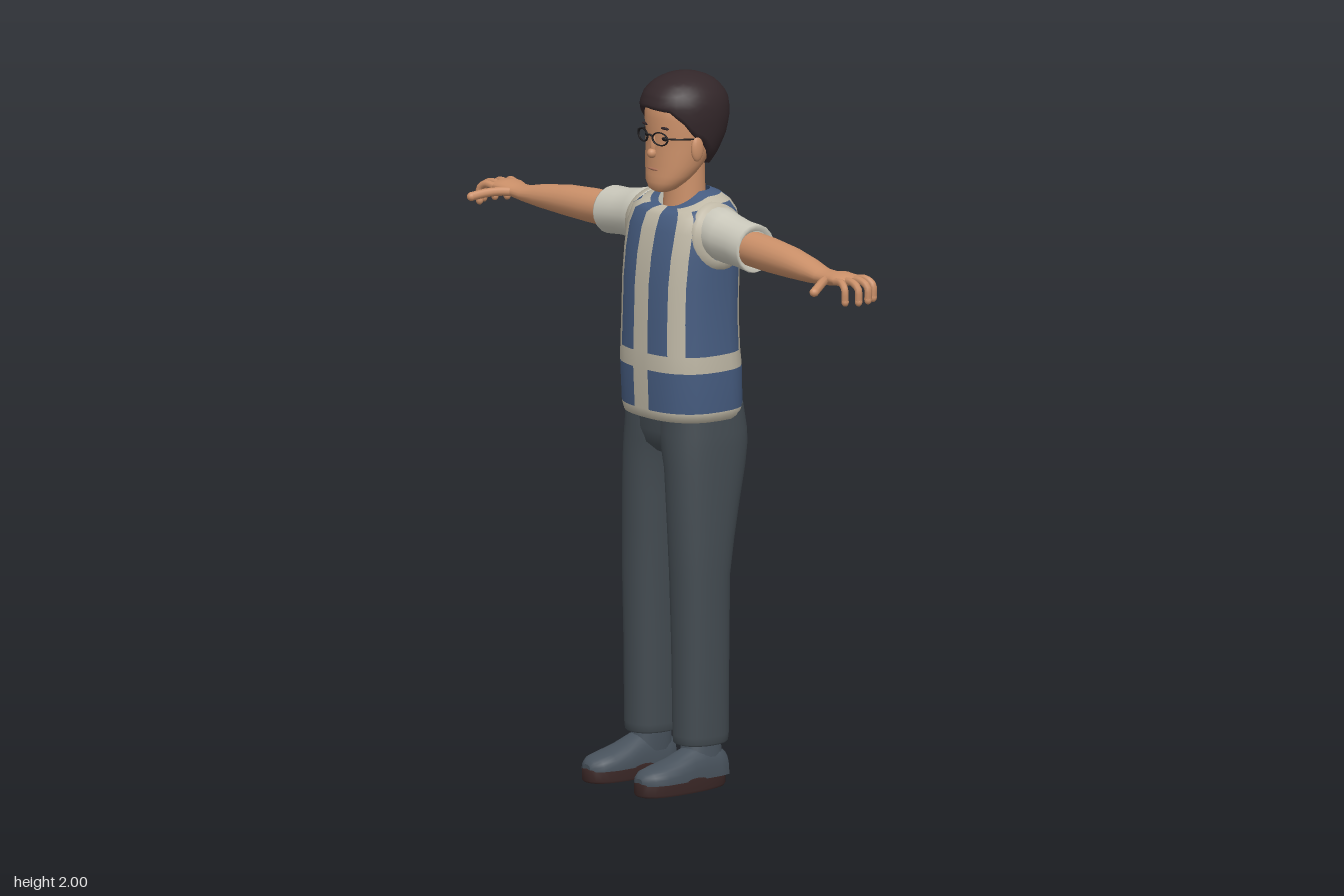
import * as THREE from 'three';

const mat = (name, color, extra = {}) => new THREE.MeshStandardMaterial({ name, color, ...extra });
const V = (x, y, z) => new THREE.Vector3(x, y, z);
const spow = (v, e) => Math.sign(v) * Math.abs(v) ** e;

// Skin closed rings together; rings turn right-handed around the path. pick(row, col) chooses a material.
function loft(rings, { cap = true, pick = () => 0 } = {}) {
  const n = rings[0].length, pos = [], buckets = [];
  const tri = (m, ...ids) => (buckets[m] ??= []).push(...ids);
  rings.forEach(r => r.forEach(p => pos.push(p.x, p.y, p.z)));
  for (let i = 0; i < rings.length - 1; i++) for (let j = 0; j < n; j++) {
    const k = (j + 1) % n, a = i * n + j, b = i * n + k, c = b + n, d = a + n;
    tri(pick(i, j), a, b, c, a, c, d);
  }
  if (cap) [rings[0], rings[rings.length - 1]].forEach((r, e) => {
    const base = pos.length / 3, mid = V(0, 0, 0);
    r.forEach(p => { pos.push(p.x, p.y, p.z); mid.addScaledVector(p, 1 / n); });
    pos.push(mid.x, mid.y, mid.z);
    for (let j = 0; j < n; j++) {
      const a = base + j, b = base + (j + 1) % n;
      e ? tri(0, a, b, base + n) : tri(0, b, a, base + n);
    }
  });
  const g = new THREE.BufferGeometry(), index = [];
  buckets.forEach((f, m) => { g.addGroup(index.length, f.length, m); for (const v of f) index.push(v); });
  g.setAttribute('position', new THREE.Float32BufferAttribute(pos, 3));
  g.setIndex(index);
  g.computeVertexNormals();
  if (buckets.length === 1) g.clearGroups();
  return g;
}
const ringOf = (n, f) => Array.from({ length: n }, (_, j) => f(j / n * Math.PI * 2));
// Horizontal section between x0..x1 and back..front
const ringY = (y, x0, x1, zf, zb, p = 2.3, n = 28) => ringOf(n, a => V(
  (x0 + x1) / 2 + (x1 - x0) / 2 * spow(Math.sin(a), 2 / p), y,
  (zf + zb) / 2 + (zf - zb) / 2 * spow(Math.cos(a), 2 / p)));
// Section across an arm
const ringX = ([x, y, z, ry, rz]) => ringOf(20, a => V(x, y + ry * Math.cos(a), z + rz * Math.sin(a)));
// Straight interpolation in rows sorted by their first value
function sample(rows, t) {
  let i = 0;
  while (i < rows.length - 2 && t > rows[i + 1][0]) i++;
  const a = rows[i], b = rows[i + 1], u = Math.min(1, Math.max(0, (t - a[0]) / (b[0] - a[0])));
  return a.map((v, k) => v + (b[k] - v) * u);
}

export function createModel() {
  const model = new THREE.Group();
  model.name = 'man';
  const skin = mat('skin', 0xcb9069), hairMat = mat('hair', 0x33272a, { side: THREE.DoubleSide });
  const blue = mat('vestBlue', 0x465c80, { side: THREE.DoubleSide }), cream = mat('trimCream', 0xbfb8a6, { side: THREE.DoubleSide });
  const shirt = mat('shirt', 0xcbc9bc), trouser = mat('trousers', 0x434b51), shoeMat = mat('shoe', 0x48525c);
  const soleMat = mat('sole', 0x3a2726), dark = mat('glassesBlack', 0x1c1a1c), lip = mat('lips', 0xab715a);

  const add = (name, geo, material) => {
    const m = new THREE.Mesh(geo, material);
    m.name = name;
    model.add(m);
    return m;
  };
  // Adds a part on the left and its mirror image on the right
  const pair = (name, geo, material) => {
    add(name + 'Left', geo, material);
    const g = geo.clone().applyMatrix4(new THREE.Matrix4().makeScale(-1, 1, 1)), ix = g.index;
    for (let i = 0; i < ix.count; i += 3) {
      const b = ix.getX(i + 1);
      ix.setX(i + 1, ix.getX(i + 2));
      ix.setX(i + 2, b);
    }
    add(name + 'Right', g, material);
  };
  const ball = (x, y, z, sx, sy, sz) => new THREE.SphereGeometry(1, 16, 12).scale(sx, sy, sz).translate(x, y, z);
  const tube = (pts, r, seg = 10) => new THREE.TubeGeometry(new THREE.CatmullRomCurve3(pts.map(p => V(...p))), seg, r, 8);

  // Vest: columns follow the stripe edges; rows are y, half width, front, back, neckline drop
  const fr = [0, .1, .18, .3, .45, .58, .7, .83, .92, .98, 1, .98, .94, .87, .72, .5, .25, 0], N = 34;
  const vestRows = [
    [1.045, .155, .075, -.17, 0], [1.04, .17, .088, -.186, 0], [1.066, .175, .095, -.19, 0], [1.18, .177, .1, -.186, 0],
    [1.227, .175, .1, -.181, 0], [1.32, .171, .098, -.178, 0], [1.42, .171, .095, -.18, 0], [1.5, .173, .086, -.182, 0],
    [1.57, .174, .071, -.178, 0], [1.62, .163, .055, -.17, .01], [1.645, .135, .04, -.16, .025],
    [1.66, .1, .025, -.145, .035], [1.67, .067, .012, -.122, .042]];
  const vestRings = vestRows.map(([y, w, zf, zb, drop]) => Array.from({ length: N }, (_, k) => {
    const m = k <= 17 ? k : N - k, c = (1 - fr[m] ** 2.5) ** .4 * (m <= 10 ? 1 : -1);
    return V(w * fr[m] * (k <= 17 ? 1 : -1), y - drop * Math.max(0, c), (zf + zb) / 2 + (zf - zb) / 2 * c);
  }));
  const vestPick = (row, col) => {
    const c = col < 17 ? col : N - 1 - col;
    if (row < 2 || row === 3 || c < 2) return 1;
    if (row === 2 || row === 11) return 0;
    if (row === 10) return c >= 5 && c <= 13 ? 1 : 0;
    return c === 5 || c === 6 || c === 13 ? 1 : 0;
  };
  add('vest', loft(vestRings, { cap: false, pick: vestPick }), [blue, cream]);

  // Armhole trim bent around the side of the vest
  const trimRing = (r, lift) => ringOf(28, a => {
    const dy = r * Math.cos(a), dz = r * .95 * Math.sin(a);
    return V(.178 + lift - 3.5 * dz * dz - (dy > 0 ? 5 : .5) * dy * dy, 1.558 + dy, -.055 + dz);
  });
  pair('armholeTrim', loft([trimRing(.092, -.015), trimRing(.09, .004), trimRing(.066, .004)], { cap: false }), cream);

  // Sleeves and arms
  pair('sleeve', loft([[.12, 1.57, -.055, .065, .065], [.165, 1.568, -.055, .074, .07], [.2, 1.562, -.055, .071, .068],
    [.26, 1.556, -.055, .066, .064], [.318, 1.552, -.053, .068, .067], [.326, 1.552, -.053, .064, .063],
    [.318, 1.552, -.052, .05, .053]].map(ringX)), shirt);
  pair('arm', loft([[.29, 1.553, -.048, .049, .053], [.4, 1.55, -.045, .048, .051], [.5, 1.548, -.038, .043, .047],
    [.6, 1.543, -.03, .033, .04], [.66, 1.539, -.025, .023, .035], [.7, 1.541, -.024, .02, .036], [.735, 1.546, -.026, .02, .043],
    [.77, 1.547, -.027, .016, .045], [.785, 1.546, -.027, .009, .038]].map(ringX)), skin);

  // Fingers curling down, thumb pointing forward
  [[.012, .825, .2], [-.014, .846, .1], [-.04, .842, -.1], [-.063, .826, -.25]].forEach(([z, x, spread], i) => {
    const zt = z + spread * .05, pts = [[.762, 1.546, z], [(x + .765) / 2, 1.549, (z + zt) / 2], [x - .01, 1.535, zt], [x - .008, 1.5, zt]];
    pair('finger' + (i + 1), tube(pts, .0105), skin);
    pair('fingertip' + (i + 1), ball(...pts[3], .0105, .013, .0105), skin);
  });
  pair('thumb', tube([[.695, 1.54, -.01], [.725, 1.541, .028], [.748, 1.536, .06], [.766, 1.528, .09]], .0125), skin);
  pair('thumbTip', ball(.766, 1.528, .09, .0125, .0125, .0135), skin);

  // Trousers: y, inner x, outer x, front, back
  pair('trouserLeg', loft([[.125, .05, .167, .046, -.1], [.13, .044, .171, .051, -.106], [.15, .043, .173, .053, -.108],
    [.4, .038, .176, .055, -.109], [.6, .033, .178, .06, -.112], [.7, .026, .178, .063, -.13], [.8, .019, .177, .066, -.152],
    [.9, .01, .176, .068, -.176], [.96, -.008, .175, .069, -.188], [1.0, -.02, .173, .069, -.189],
    [1.07, -.02, .165, .068, -.18]].map(r => ringY(...r))), trouser);
  add('trouserSeat', loft([[.935, .05, .03, -.13], [.96, .12, .055, -.165], [1.0, .16, .067, -.181], [1.07, .166, .07, -.182]]
    .map(([y, w, f, b]) => ringY(y, -w, w, f, b))), trouser);

  // Shoes: sole, upper and ankle
  const soleRing = (y, s) => ringOf(28, a => V(.117 + s * spow(Math.sin(a), .8) * (.054 + .009 * Math.cos(a)), y,
    .05 + s * .15 * spow(Math.cos(a), .85)));
  pair('sole', loft([soleRing(0, .96), soleRing(.006, 1), soleRing(.036, 1), soleRing(.042, .96)]), soleMat);
  pair('shoe', loft([[-.097, .025, .07], [-.09, .04, .1], [-.06, .047, .118], [-.01, .049, .125], [.03, .051, .118], [.08, .056, .096],
    [.13, .057, .082], [.17, .047, .073], [.188, .032, .064], [.196, .016, .052]].map(([z, w, top]) =>
    ringOf(24, a => V(.117 + w * spow(Math.cos(a), .8), .034 + (top - .034) * Math.max(0, spow(Math.sin(a), .8)), z)))), shoeMat);
  pair('ankle', loft([[.07, .07, .16, .045, -.09], [.12, .066, .155, .032, -.085], [.17, .068, .15, .025, -.08]]
    .map(r => ringY(...r))), shoeMat);

  // Neck and head: y, half width, front, back
  add('neck', loft([[1.6, .064, .004, -.118], [1.66, .06, 0, -.112], [1.76, .058, 0, -.11]]
    .map(([y, w, f, b]) => ringY(y, -w, w, f, b, 2))), skin);
  add('head', loft([[1.672, .025, .045, 0], [1.68, .043, .056, -.015], [1.7, .062, .06, -.045], [1.72, .074, .058, -.07],
    [1.75, .085, .056, -.1], [1.79, .092, .055, -.13], [1.83, .097, .053, -.15], [1.88, .1, .058, -.16], [1.93, .094, .052, -.15],
    [1.97, .06, .01, -.11]].map(([y, w, f, b]) => ringY(y, -w, w, f, b, 2.1))), skin);

  // Hair: each column runs from the hairline up to the crown
  const hairline = [[0, 1.912], [.2, 1.905], [.3, 1.872], [.38, 1.83], [.46, 1.815], [.55, 1.78], [.7, 1.745], [1, 1.73]];
  const hairRows = [[1.73, .072, .04, -.115], [1.78, .096, .05, -.152], [1.83, .109, .062, -.176], [1.88, .115, .072, -.186],
    [1.92, .113, .074, -.184], [1.95, .101, .062, -.169], [1.975, .078, .035, -.142], [1.99, .05, .002, -.112],
    [1.997, .027, -.024, -.085], [2, 0, -.055, -.055]];
  const hairRing = (t, s) => ringOf(40, a => {
    const yb = sample(hairline, Math.min(a, Math.PI * 2 - a) / Math.PI)[1], y = yb + (2 - yb) * Math.sin(t * Math.PI / 2);
    const [, w, f, b] = sample(hairRows, y);
    return V(s * w * Math.sin(a), y, (f + b) / 2 + s * (f - b) / 2 * Math.cos(a));
  });
  add('hair', loft([hairRing(0, .82), ...Array.from({ length: 15 }, (_, i) => hairRing(i / 14, 1))], { cap: false }), hairMat);

  // Face
  pair('ear', ball(.1, 1.8, -.022, .011, .036, .02), skin);
  add('nose', ball(0, 1.782, .058, .013, .014, .015), skin);
  add('noseBridge', ball(0, 1.805, .053, .009, .03, .01), skin);
  add('mouth', ball(0, 1.737, .055, .023, .004, .005), lip);
  pair('eye', ball(.037, 1.826, .044, .012, .006, .005), dark);
  pair('eyebrow', ball(.04, 1.857, .046, .02, .004, .006), hairMat);

  // Glasses
  pair('glassesRim', new THREE.TorusGeometry(.027, .003, 6, 28).scale(1, .66, 1).rotateY(.2).translate(.038, 1.828, .06), dark);
  pair('glassesArm', tube([[.064, 1.832, .055], [.088, 1.832, .035], [.1, 1.828, -.02]], .0025), dark);
  add('glassesBridge', tube([[-.012, 1.832, .065], [0, 1.836, .067], [.012, 1.832, .065]], .003, 6), dark);
  return model;
}
